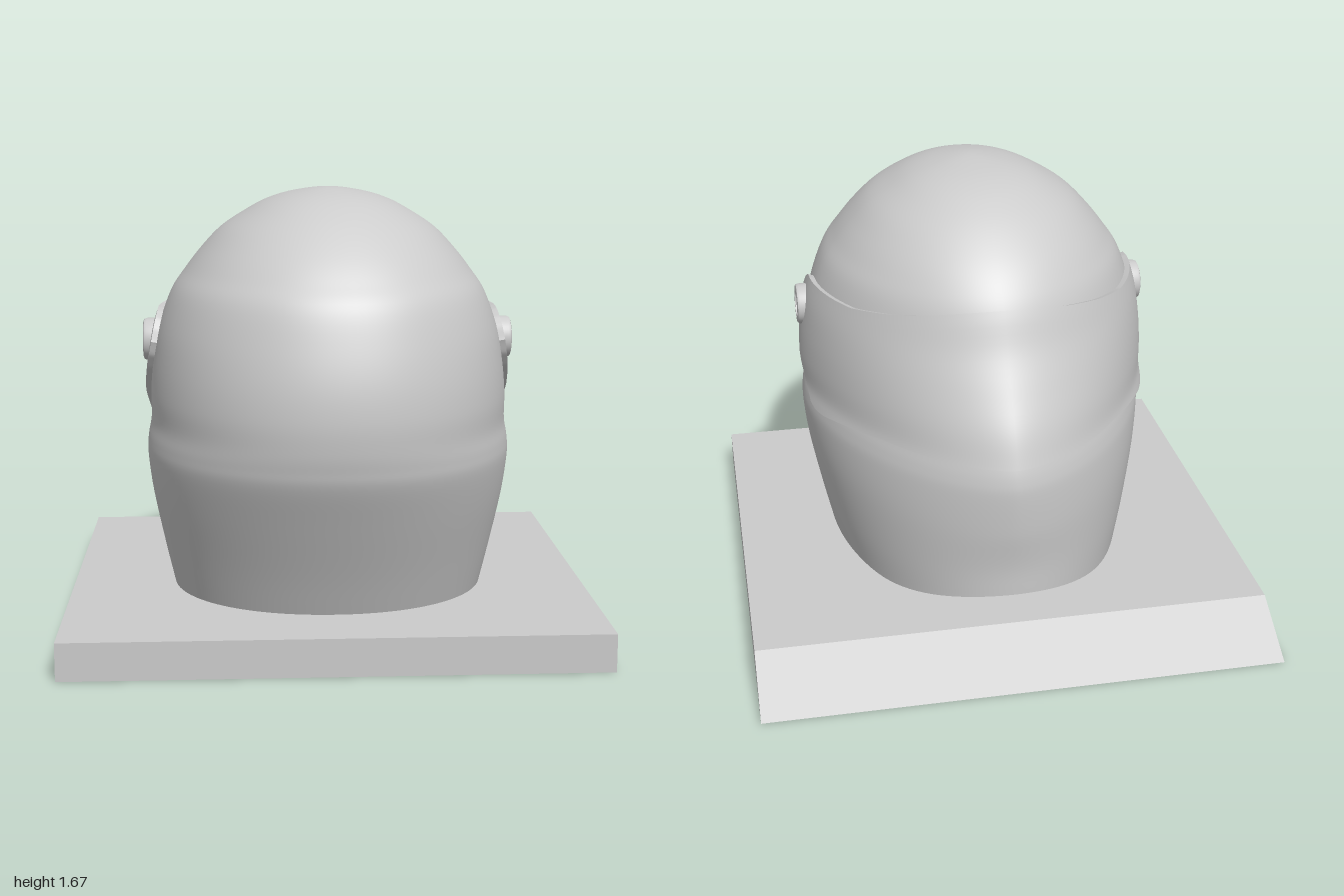
import * as THREE from 'three';
import { toCreasedNormals } from 'three/addons/utils/BufferGeometryUtils.js';

const material = new THREE.MeshStandardMaterial({ color: 0xcccccc, side: THREE.DoubleSide });

// Helmet levels: height, back z, visor-side z, half width, roundness of the visor side
const LEVELS = [
  [0.145, 0.72, -0.70, 0.595, 1.9], [0.30, 0.79, -0.707, 0.63, 1.85],
  [0.51, 0.89, -0.73, 0.672, 1.72], [0.66, 0.96, -0.74, 0.69, 1.62],
  [0.73, 0.98, -0.735, 0.687, 1.58], [0.80, 0.993, -0.715, 0.675, 1.56],
  [0.90, 1.0, -0.675, 0.675, 1.58], [1.02, 0.99, -0.605, 0.664, 1.65],
  [1.15, 0.96, -0.53, 0.64, 1.73], [1.28, 0.915, -0.475, 0.593, 1.8],
  [1.36, 0.855, -0.425, 0.54, 1.85], [1.437, 0.783, -0.355, 0.48, 1.9],
  [1.515, 0.69, -0.26, 0.405, 1.95], [1.575, 0.60, -0.165, 0.315, 2],
  [1.62, 0.50, -0.065, 0.23, 2], [1.65, 0.385, 0.06, 0.13, 2],
  [1.667, 0.24, 0.24, 0, 2],
];
const LAST = LEVELS.length - 1;

// Smooth blend between levels; the crown is mirrored past its apex
function levelAt(t) {
  const i = Math.min(Math.floor(t), LAST - 1), f = t - i;
  const before = LEVELS[0].map((v, k) => 2 * v - LEVELS[1][k]);
  const [y, back, front, w, p] = LEVELS[LAST - 1];
  const beyond = [y, front, back, -w, p];
  const at = (k) => (k < 0 ? before : k > LAST ? beyond : LEVELS[k]);
  return LEVELS[0].map((_, k) => {
    const [a, b, c, d] = [i - 1, i, i + 1, i + 2].map((n) => at(n)[k]);
    return b + 0.5 * f * (c - a + f * (2 * a - 5 * b + 4 * c - d + f * (3 * (b - c) + d - a)));
  });
}

function tOfHeight(y) {
  let lo = 0, hi = LAST;
  for (let i = 0; i < 30; i++) {
    const mid = (lo + hi) / 2;
    if (levelAt(mid)[0] < y) lo = mid; else hi = mid;
  }
  return lo;
}

// Point on the helmet: angle 0 is the middle of the visor side, positive towards +x
function surface(angle, t) {
  const [y, back, front, w, p] = levelAt(t);
  const zc = t > LAST - 1 ? 0.2 + 0.04 * (t - LAST + 1) : 0.2;
  const s = Math.sin(angle), c = Math.cos(angle);
  const e = 2 / (c > 0 ? p : 2.1);
  const x = w * Math.sign(s) * Math.abs(s) ** e;
  const z = zc + (c > 0 ? front - zc : back - zc) * Math.abs(c) ** e;
  // the lower edge rises under the chin
  const lift = 0.085 * Math.max(0, (-0.3 - z) / 0.4) ** 2 * Math.max(0, 1 - (y - 0.145) / 0.35);
  return new THREE.Vector3(x, y + lift, z);
}

function offsetSurface(angle, t, distance) {
  const e = 0.03;
  const across = surface(angle + e, t).sub(surface(angle - e, t));
  const up = surface(angle, t + e).sub(surface(angle, t - e));
  return surface(angle, t).addScaledVector(up.cross(across).normalize(), distance);
}

// Surface through rows of points, keeping sharp edges
function skin(rows, crease) {
  const n = rows[0].length, index = [];
  for (let r = 0; r < rows.length - 1; r++) {
    for (let c = 0; c < n - 1; c++) {
      const a = r * n + c, b = a + n;
      index.push(a, b, a + 1, a + 1, b, b + 1);
    }
  }
  const g = new THREE.BufferGeometry().setFromPoints(rows.flat());
  g.setIndex(index);
  return toCreasedNormals(g, crease);
}

function interpolate(table, z) {
  if (z <= table[0][0]) return table[0][1];
  for (let i = 1; i < table.length; i++) {
    const [z0, y0] = table[i - 1], [z1, y1] = table[i];
    if (z <= z1) return y0 + ((y1 - y0) * (z - z0)) / (z1 - z0);
  }
  return table[table.length - 1][1];
}

// Visor outline seen from the side: z, y
const VISOR_TOP = [[-0.48, 1.30], [-0.4, 1.27], [-0.3, 1.243], [-0.16, 1.217], [0, 1.212], [0.2, 1.205],
  [0.25, 1.197], [0.29, 1.175], [0.32, 1.14], [0.335, 1.09]];
const VISOR_BOTTOM = [[-0.73, 0.78], [-0.4, 0.78], [-0.2, 0.755], [-0.08, 0.737], [-0.02, 0.735], [0.03, 0.746],
  [0.08, 0.778], [0.2, 0.9], [0.28, 0.985], [0.32, 1.04], [0.335, 1.09]];

function edgeT(table, angle) {
  let t = tOfHeight(1.09);
  for (let i = 0; i < 10; i++) t = tOfHeight(interpolate(table, surface(angle, t).z));
  return t;
}

function helmetShell() {
  const cols = 128, perLevel = 5, rows = [];
  const ring = (fn) => Array.from({ length: cols + 1 }, (_, c) => fn((c / cols) * Math.PI * 2));
  rows.push(ring(() => new THREE.Vector3(0, 0.145, 0.2))); // underside
  for (let r = 0; r <= LAST * perLevel; r++) rows.push(ring((a) => surface(a, r / perLevel)));
  return skin(rows, 0.7);
}

function visorShell() {
  const half = 70, steps = 20, end = THREE.MathUtils.degToRad(99.3);
  const columns = [];
  for (let i = -half; i <= half; i++) {
    const angle = end * Math.sin((i / half) * Math.PI / 2);
    const top = edgeT(VISOR_TOP, angle), bottom = edgeT(VISOR_BOTTOM, angle);
    const column = [offsetSurface(angle, bottom, -0.01)];
    for (let k = 0; k <= steps; k++) {
      column.push(offsetSurface(angle, bottom + ((top - bottom) * k) / steps, 0.022));
    }
    column.push(offsetSurface(angle, top, -0.01));
    columns.push(column);
  }
  return skin(columns[0].map((_, r) => columns.map((c) => c[r])), 0.6);
}

// Round hinge cap with a raised rim and sunken centre
function pivotCap() {
  const profile = [[0.08, -0.08], [0.08, -0.012], [0.076, -0.003], [0.069, 0], [0.053, 0],
    [0.051, -0.012], [0.042, -0.012], [0.04, -0.005], [0, -0.005]];
  const g = new THREE.LatheGeometry(profile.map(([r, h]) => new THREE.Vector2(r, h)), 40);
  return toCreasedNormals(g, 0.6);
}

// Slab with one edge sloped
function standSlab() {
  const g = new THREE.BoxGeometry(1.964, 0.14, 1.97).translate(0, 0.07, -0.013);
  const p = g.attributes.position;
  for (let i = 0; i < p.count; i++) {
    if (p.getY(i) > 0.1 && p.getZ(i) < 0) p.setZ(i, -0.75);
  }
  const flat = g.toNonIndexed();
  flat.computeVertexNormals();
  return flat;
}

export function createModel() {
  const model = new THREE.Group();
  model.name = 'helmetOnStand';
  const add = (name, geometry) => {
    const mesh = new THREE.Mesh(geometry, material);
    mesh.name = name;
    model.add(mesh);
    return mesh;
  };
  add('stand', standSlab());
  add('helmetShell', helmetShell());
  add('visor', visorShell());
  for (const side of [1, -1]) {
    const cap = add(side > 0 ? 'leftPivot' : 'rightPivot', pivotCap());
    cap.position.set(side * 0.7, 1.09, 0.225);
    cap.rotation.z = -side * Math.PI / 2;
  }
  return model;
}
